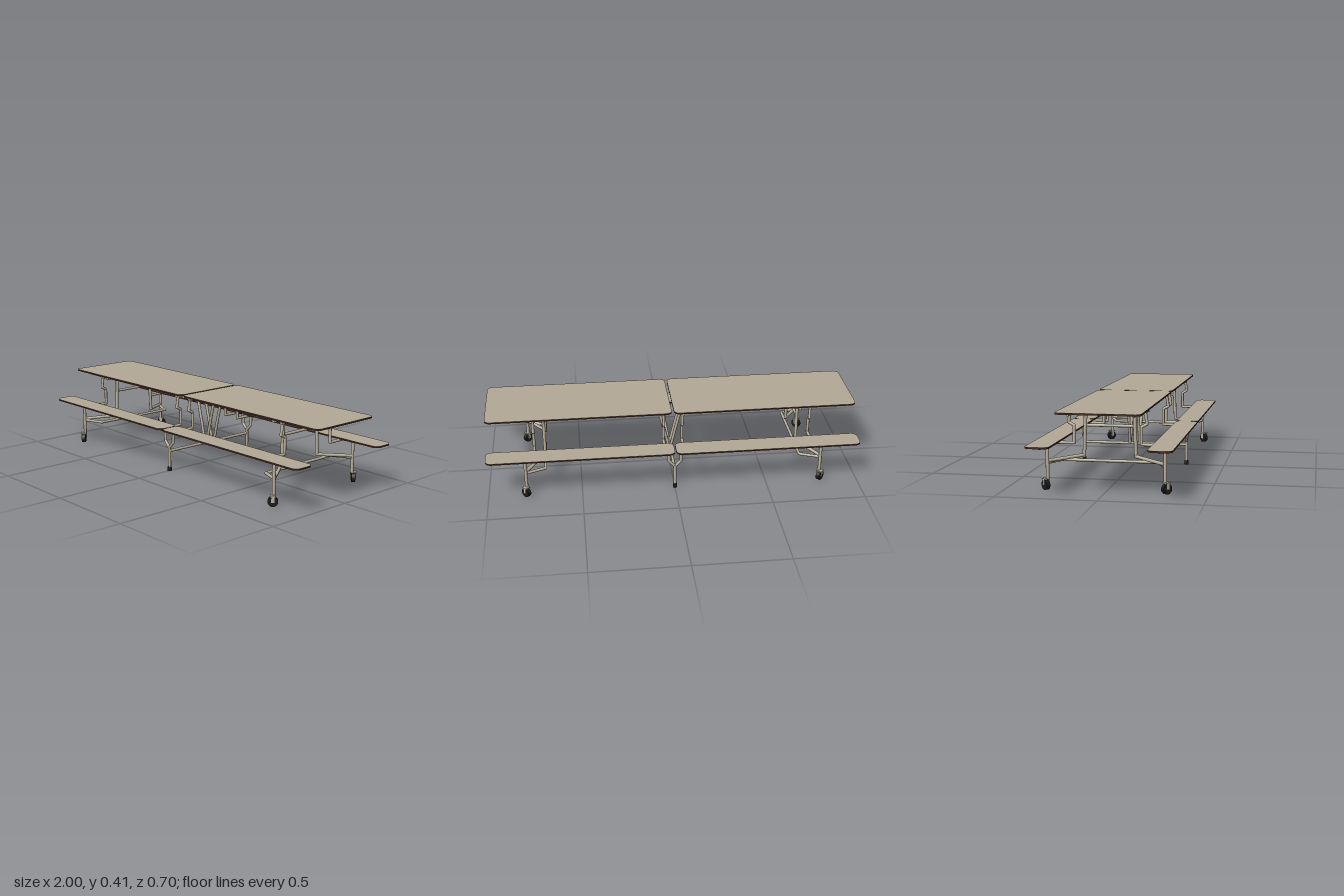
import * as THREE from 'three';

const mat = (name, color) => {
  const m = new THREE.MeshStandardMaterial({ color });
  m.name = name;
  return m;
};

export function createModel() {
  const root = new THREE.Group();
  root.name = 'foldingBenchTable';
  const laminate = mat('beige laminate', 0xb3a996);
  const edging = mat('dark brown edging', 0x46281d);
  const steel = mat('beige steel', 0xb8af9b);
  const rubber = mat('black rubber', 0x1a1c1b);

  const add = (parent, name, geo, material, x = 0, y = 0, z = 0) => {
    const m = new THREE.Mesh(geo, material);
    m.name = name;
    m.position.set(x, y, z);
    parent.add(m);
    return m;
  };

  // Bent pipe: straight tubes with round elbows
  const pipe = (parent, name, points, r = 0.009) => {
    const g = new THREE.Group();
    g.name = name;
    const pts = points.map(p => new THREE.Vector3(...p));
    for (let i = 0; i < pts.length - 1; i++) {
      const dir = pts[i + 1].clone().sub(pts[i]);
      const tube = add(g, name + 'Tube', new THREE.CylinderGeometry(r, r, dir.length(), 10), steel);
      tube.position.copy(pts[i]).addScaledVector(dir, 0.5);
      tube.quaternion.setFromUnitVectors(new THREE.Vector3(0, 1, 0), dir.normalize());
      if (i > 0) add(g, name + 'Elbow', new THREE.SphereGeometry(r, 10, 6), steel, ...points[i]);
    }
    parent.add(g);
  };

  // Board with rounded corners: dark core and edge, laminate face
  const board = (name, x, y, z, w, d, r) => {
    const a = w / 2, b = d / 2;
    const s = new THREE.Shape();
    s.moveTo(-a + r, -b);
    s.lineTo(a - r, -b);
    s.absarc(a - r, -b + r, r, -Math.PI / 2, 0);
    s.absarc(a - r, b - r, r, 0, Math.PI / 2);
    s.absarc(-a + r, b - r, r, Math.PI / 2, Math.PI);
    s.absarc(-a + r, -b + r, r, Math.PI, Math.PI * 1.5);
    const g = new THREE.Group();
    g.name = name;
    const core = new THREE.ExtrudeGeometry(s, { depth: 0.008, bevelEnabled: false, curveSegments: 6 });
    add(g, name + 'Core', core.rotateX(-Math.PI / 2), edging);
    add(g, name + 'Face', new THREE.ShapeGeometry(s, 6).rotateX(-Math.PI / 2), laminate, 0, 0.0088, 0);
    g.position.set(x, y, z);
    root.add(g);
  };

  // Bench arm hanging from the table frame
  const benchArm = (parent, x, sz) => pipe(parent, 'benchArm', [
    [x, 0.388, sz * 0.185], [x, 0.33, sz * 0.194], [x, 0.315, sz * 0.167],
    [x, 0.229, sz * 0.167], [x, 0.228, sz * 0.3]], 0.008);

  for (const sx of [-1, 1]) {
    board('tableTop', sx * 0.501, 0.399, 0, 0.99, 0.412, 0.03);

    const frame = new THREE.Group();
    frame.name = 'endFrame';
    root.add(frame);

    // Crossbars under the top
    for (const x of [0.055, 0.69, 0.745])
      pipe(frame, 'topCrossbar', [[sx * x, 0.39, -0.195], [sx * x, 0.39, 0.195]], 0.008);
    pipe(frame, 'legBrace', [[sx * 0.69, 0.31, -0.115], [sx * 0.69, 0.31, 0.115]], 0.008);
    pipe(frame, 'lowerCrossbar', [
      [sx * 0.795, 0.136, -0.285], [sx * 0.69, 0.134, -0.24],
      [sx * 0.69, 0.134, 0.24], [sx * 0.795, 0.136, 0.285]], 0.008);

    for (const sz of [-1, 1]) {
      board('bench', sx * 0.501, 0.234, sz * 0.293, 0.995, 0.118, 0.032);

      // Rails under the top and the bench
      add(frame, 'topRail', new THREE.BoxGeometry(0.86, 0.018, 0.008), steel, sx * 0.48, 0.39, sz * 0.158);
      add(frame, 'benchRail', new THREE.BoxGeometry(0.9, 0.01, 0.02), edging, sx * 0.5, 0.229, sz * 0.29);
      for (const x of [0.05, 0.745, 0.795])
        add(frame, 'benchBracket', new THREE.BoxGeometry(0.03, 0.018, 0.022), rubber, sx * x, 0.226, sz * 0.29);

      // End post and bent leg
      pipe(frame, 'endPost', [[sx * 0.795, 0.055, sz * 0.29], [sx * 0.795, 0.234, sz * 0.29]]);
      pipe(frame, 'bentLeg', [
        [sx * 0.795, 0.145, sz * 0.285], [sx * 0.69, 0.16, sz * 0.13], [sx * 0.69, 0.39, sz * 0.121]]);
      benchArm(frame, sx * 0.745, sz);

      // Swivel caster
      const caster = new THREE.Group();
      caster.name = 'caster';
      caster.position.set(sx * 0.798, 0, sz * 0.298);
      caster.rotation.y = sx * sz * Math.PI / 4;
      const wheel = new THREE.CylinderGeometry(0.026, 0.026, 0.02, 14).rotateX(Math.PI / 2);
      add(caster, 'wheel', wheel, rubber, 0, 0.026, 0);
      add(caster, 'forkTop', new THREE.BoxGeometry(0.028, 0.006, 0.032), steel, 0, 0.055, 0);
      for (const k of [-1, 1])
        add(caster, 'forkSide', new THREE.BoxGeometry(0.016, 0.034, 0.003), steel, 0, 0.04, k * 0.0135);
      frame.add(caster);

      // Centre supports: branch to the bench, folding strut to the top, inner arm
      pipe(frame, 'benchBranch', [
        [0, 0.13, sz * 0.29], [sx * 0.032, 0.165, sz * 0.29], [sx * 0.034, 0.234, sz * 0.29]], 0.008);
      pipe(frame, 'foldingStrut', [
        [sx * 0.008, 0.115, sz * 0.027], [sx * 0.035, 0.23, sz * 0.027], [sx * 0.075, 0.39, sz * 0.027]], 0.008);
      benchArm(frame, sx * 0.05, sz);
    }
  }

  // Centre base with rubber feet
  const base = new THREE.Group();
  base.name = 'centreBase';
  root.add(base);
  pipe(base, 'baseCrossbar', [[0, 0.112, -0.29], [0, 0.112, 0.29]], 0.008);
  for (const sz of [-1, 1]) {
    pipe(base, 'centrePost', [[0, 0.02, sz * 0.29], [0, 0.14, sz * 0.29]]);
    add(base, 'rubberFoot', new THREE.CylinderGeometry(0.011, 0.012, 0.024, 10), rubber, 0, 0.012, sz * 0.29);
  }
  return root;
}
